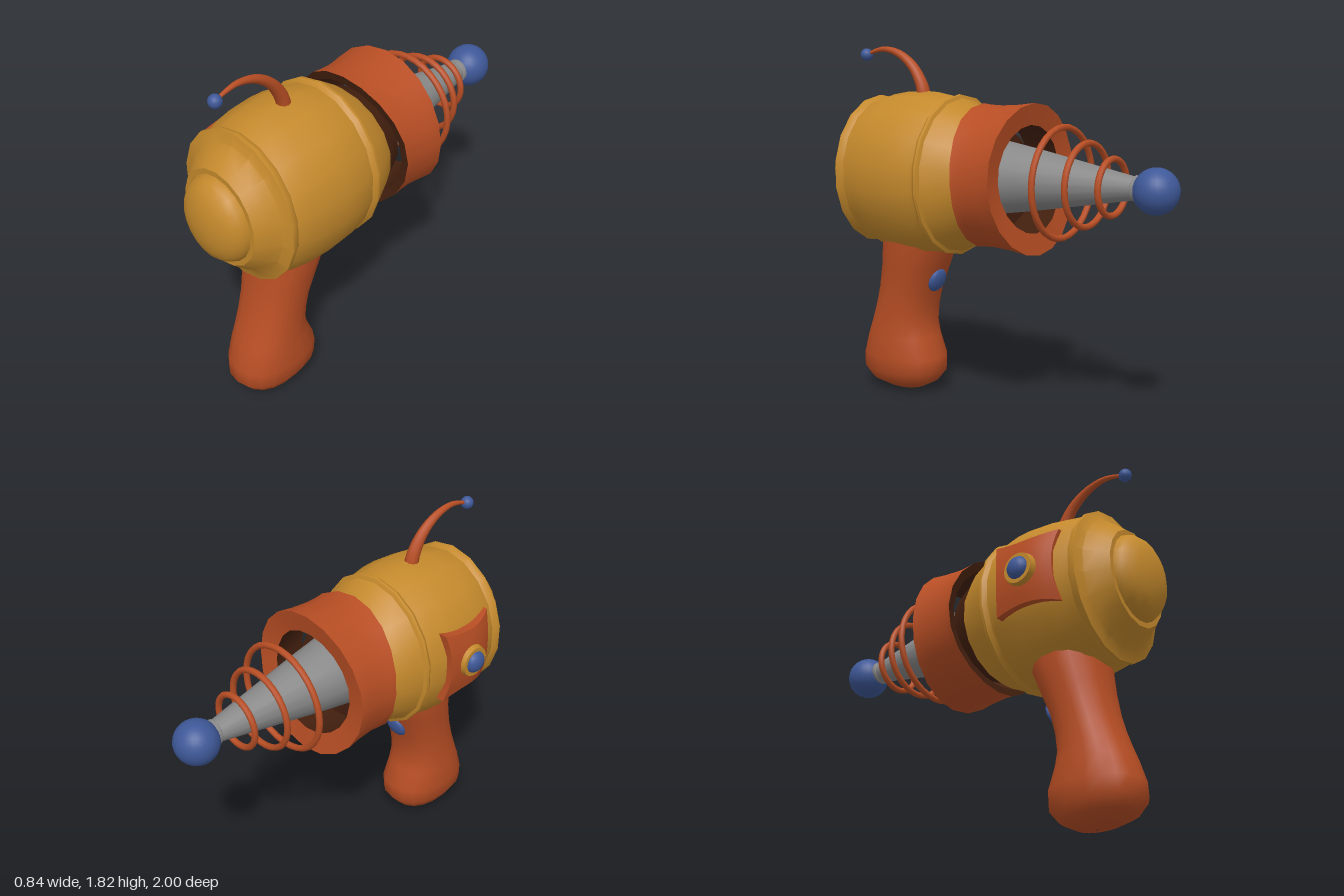
import * as THREE from 'three';
import { toCreasedNormals } from 'three/addons/utils/BufferGeometryUtils.js';

const mat = (name, color) => {
  const m = new THREE.MeshStandardMaterial({ color });
  m.name = name;
  return m;
};

// Move every vertex of a geometry by a rule
function warp(geo, rule) {
  const p = geo.attributes.position;
  const v = new THREE.Vector3();
  for (let i = 0; i < p.count; i++) {
    v.fromBufferAttribute(p, i);
    rule(v, i);
    p.setXYZ(i, v.x, v.y, v.z);
  }
  return geo;
}

// Turned shape around the z axis from [radius, z] pairs
function turned(profile, sides, rule, crease = 0.6) {
  const g = new THREE.LatheGeometry(profile.map(([r, z]) => new THREE.Vector2(r, z)), sides);
  g.rotateX(Math.PI / 2);
  if (rule) warp(g, rule);
  return toCreasedNormals(g, crease);
}

export function createModel() {
  const yellow = mat('mustard', 0xc4892c);
  const orange = mat('rust orange', 0xb84e24);
  const blue = mat('blue', 0x3e5898);
  const grey = mat('grey', 0x888888);
  const dark = mat('dark brown', 0x44200f);

  const root = new THREE.Group();
  root.name = 'rayBlaster';
  const add = (name, geo, material, x = 0.04, y = 1.18, z = 0) => {
    const m = new THREE.Mesh(geo, material);
    m.name = name;
    m.position.set(x, y, z);
    root.add(m);
    return m;
  };

  // Barrel body: oval in section, with its muzzle-side end scooped at the flanks
  const bodyRule = (v) => {
    const r = Math.hypot(v.x, v.y);
    const w = THREE.MathUtils.clamp((0.2 - v.z) / 0.12, 0, 1);
    if (r > 0.02) v.z += w * (0.012 * (v.y / r - 1) - 0.03 * (v.x / r) ** 2);
    v.x *= 0.91;
  };
  add('body', turned([
    [0.305, 0.088], [0.35, 0.14], [0.39, 0.218], [0.408, 0.226], [0.41, 0.24], [0.393, 0.262], [0.4, 0.29],
    [0.416, 0.37], [0.42, 0.45], [0.412, 0.58], [0.396, 0.67], [0.376, 0.73],
    [0.39, 0.755], [0.39, 0.772], [0.335, 0.79], [0.29, 0.845], [0.25, 0.89], [0.2, 0.89],
  ], 18, bodyRule), yellow);
  add('rearCap', turned([
    [0.22, 0.86], [0.223, 0.89], [0.208, 0.925], [0.18, 0.955], [0.13, 0.98], [0.07, 0.995], [0, 1.0],
  ], 20, bodyRule, 0.9), yellow);
  add('bodyEnd', turned([[0, -0.05], [0.25, -0.02], [0.305, 0.088]], 18, bodyRule), dark);

  // Shroud: flared ring with wavy rims and a dark lining
  const shroudRule = (v) => {
    const r = Math.hypot(v.x, v.y);
    const t = (v.z + 0.22) / 0.305;
    v.z += 0.018 * (v.y / r - 1) + (v.x / r) ** 2 * THREE.MathUtils.lerp(0.03, -0.045, t);
  };
  add('shroud', turned([
    [0.265, -0.2], [0.372, -0.22], [0.36, -0.13], [0.353, -0.03], [0.355, 0.04], [0.36, 0.085],
  ], 20, shroudRule), orange, 0.04, 1.19);
  add('shroudLining', turned([[0.36, 0.085], [0.315, 0.075], [0.265, -0.2]], 20, shroudRule),
    dark, 0.04, 1.19);

  // Emitter cone, tip ball and rings
  add('emitterCone', turned([
    [0, -0.81], [0.062, -0.81], [0.062, -0.785], [0.055, -0.78], [0.155, -0.22], [0.185, -0.03],
  ], 16), grey, 0.04, 1.19);
  add('tipBall', new THREE.SphereGeometry(0.11, 24, 16), blue, 0.04, 1.185, -0.89);
  for (const [z, r] of [[-0.385, 0.268], [-0.522, 0.2], [-0.66, 0.134]])
    add('emitterRing', new THREE.TorusGeometry(r, 0.016, 8, 32), orange, 0.04, 1.185, z);

  // Grip: oval cross-sections [y, z min, z max, half width], top to bottom
  const rows = [
    [0.95, 0.29, 0.67, 0.2], [0.8, 0.325, 0.69, 0.195], [0.68, 0.37, 0.705, 0.178],
    [0.56, 0.418, 0.727, 0.166], [0.46, 0.44, 0.755, 0.163], [0.37, 0.447, 0.787, 0.165],
    [0.3, 0.43, 0.815, 0.17], [0.19, 0.382, 0.852, 0.176], [0.11, 0.382, 0.857, 0.17],
    [0.05, 0.43, 0.81, 0.135], [0.015, 0.5, 0.72, 0.08], [0, 0.6, 0.62, 0.004],
  ];
  const sides = 18;
  const grip = warp(new THREE.CylinderGeometry(1, 1, 1, sides, rows.length - 1, true), (v, i) => {
    const [y, z0, z1, w] = rows[Math.floor(i / (sides + 1))];
    const square = (a) => Math.sign(a) * Math.abs(a) ** 0.85;
    v.set(square(v.x) * w, y, (z0 + z1) / 2 + square(v.z) * (z1 - z0) / 2);
  });
  add('grip', toCreasedNormals(grip, 1.3), orange, 0.037, 0);

  // Trigger button
  const trigger = add('trigger', new THREE.SphereGeometry(0.064, 18, 12), blue, 0.037, 0.612, 0.395);
  trigger.scale.z = 0.4;
  trigger.rotation.x = -0.32;

  // Antenna: tapered curved stem with a small ball
  const curve = new THREE.CatmullRomCurve3([
    [1.57, 0.467], [1.63, 0.483], [1.72, 0.54], [1.785, 0.63], [1.81, 0.73], [1.8, 0.8], [1.78, 0.86],
  ].map(([y, z]) => new THREE.Vector3(0, y, z)));
  const steps = 18, around = 10;
  const stem = new THREE.TubeGeometry(curve, steps, 1, around);
  warp(stem, (v, i) => {
    const t = Math.floor(i / (around + 1)) / steps;
    const c = curve.getPointAt(t);
    v.sub(c).multiplyScalar(THREE.MathUtils.lerp(0.037, 0.007, t)).add(c);
  });
  add('antennaStem', stem, orange, 0.04, 0);
  add('antennaBall', new THREE.SphereGeometry(0.033, 14, 10), blue, 0.04, 1.78, 0.86);

  // Side plate: pinched square bent over the flank of the body
  const plate = warp(new THREE.BoxGeometry(0.07, 2, 2, 1, 8, 8), (v) => {
    const { y, z } = v;
    v.y = 0.19 * y * (1 - 0.12 * (1 - z * z));
    v.z = 0.51 + 0.17 * z * (1 - 0.12 * (1 - y * y));
    v.x += 0.9 * v.y ** 2 + 1.4 * Math.max(0, v.z - 0.5) ** 2;
  });
  add('sidePlate', toCreasedNormals(plate, 0.6), orange, -0.332, 1.19);

  // Gauge on the plate
  const bezel = add('gaugeBezel', new THREE.CylinderGeometry(0.078, 0.087, 0.04, 20), yellow, -0.368, 1.19, 0.505);
  bezel.rotation.z = Math.PI / 2;
  const lens = add('gaugeLens', new THREE.SphereGeometry(0.058, 18, 12), blue, -0.383, 1.19, 0.505);
  lens.scale.x = 0.7;

  return root;
}
